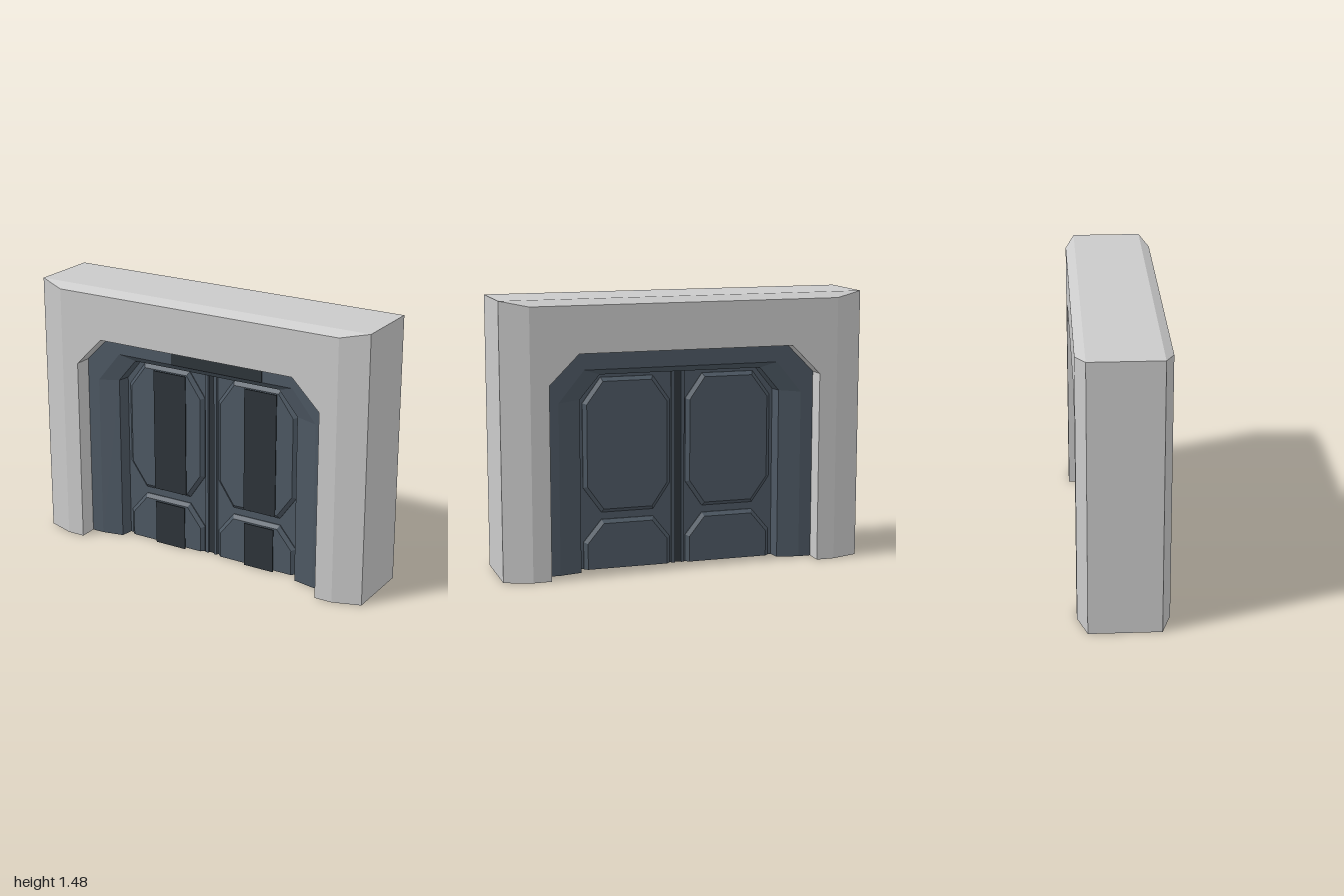
import * as THREE from 'three';

const stone = new THREE.MeshStandardMaterial({ color: 0xcacaca });
stone.name = 'pale stone';
const steel = new THREE.MeshStandardMaterial({ color: 0x4d5863 });
steel.name = 'blue grey steel';
const dark = new THREE.MeshStandardMaterial({ color: 0x2d343a });
dark.name = 'dark steel';

// Arch outline with cut corners, from the foot at -x over the top to the foot at +x
function arch(halfWidth, shoulder, cut, top, z) {
  return [[-halfWidth, 0], [-halfWidth, shoulder], [-cut, top], [cut, top], [halfWidth, shoulder], [halfWidth, 0]]
    .map(([x, y]) => [x, y, z]);
}

// Flat-faced surface through successive arch outlines, outer to inner
function loft(loops) {
  const p = [];
  for (let k = 0; k < loops.length - 1; k++) {
    const a = loops[k], b = loops[k + 1];
    for (let i = 0; i < a.length - 1; i++) {
      p.push(...a[i], ...b[i], ...b[i + 1], ...a[i], ...b[i + 1], ...a[i + 1]);
    }
  }
  const g = new THREE.BufferGeometry();
  g.setAttribute('position', new THREE.Float32BufferAttribute(p, 3));
  g.computeVertexNormals();
  return g;
}

function add(parent, name, geometry, material) {
  const m = new THREE.Mesh(geometry, material);
  m.name = name;
  parent.add(m);
  return m;
}

function polygon(points) {
  return new THREE.Shape(points.map(([x, y]) => new THREE.Vector2(x, y)));
}

// Underside of one jamb; section holds [x, z] points of the front half
function foot(section) {
  const back = section.map(([x, z]) => [x, -z]).reverse();
  return new THREE.ShapeGeometry(polygon([...section, ...back])).rotateX(Math.PI / 2);
}

// Raised panel with bevelled rim
function panelGeometry(points) {
  const g = new THREE.ExtrudeGeometry(polygon(points), {
    depth: 0.005, bevelEnabled: true, bevelSegments: 1,
    bevelThickness: 0.018, bevelSize: 0.02, bevelOffset: -0.02,
  });
  const pos = g.attributes.position;
  for (let i = 0; i < pos.count; i++) pos.setY(i, Math.max(0, pos.getY(i)));
  g.translate(0, 0, 0.045);
  g.computeVertexNormals();
  return g;
}

function box(x0, x1, y0, y1, z0, z1) {
  return new THREE.BoxGeometry(x1 - x0, y1 - y0, z1 - z0)
    .translate((x0 + x1) / 2, (y0 + y1) / 2, (z0 + z1) / 2);
}

// One face of the doorway; the other is the same turned around
function makeFace() {
  const face = new THREE.Group();
  add(face, 'wall', loft([
    arch(1, 1.48, 1, 1.48, 0),
    arch(1, 1.48, 1, 1.48, 0.19),
    arch(0.85, 1.45, 0.85, 1.45, 0.24),
    arch(0.75, 1.04, 0.59, 1.2, 0.24),
    arch(0.75, 1.04, 0.59, 1.2, 0.14),
  ]), stone);
  add(face, 'doorFrame', loft([
    arch(0.75, 1.04, 0.59, 1.2, 0.14),
    arch(0.68, 0.93, 0.54, 1.1, 0.14),
    arch(0.56, 0.94, 0.45, 1.07, 0.115),
    arch(0.545, 0.94, 0.44, 1.07, 0.02),
  ]), steel);
  add(face, 'wallFoot', foot([[0.75, 0.24], [0.85, 0.24], [1, 0.19]]), stone);
  add(face, 'frameFoot', foot([[0.545, 0.03], [0.56, 0.115], [0.68, 0.14], [0.75, 0.14]]), steel);

  for (const s of [-1, 1]) {
    // Upper octagonal panel and lower panel with cut top corners
    const upper = [[0.045, 0.45], [0.14, 0.31], [0.43, 0.31], [0.53, 0.45],
      [0.53, 0.91], [0.43, 1.045], [0.14, 1.045], [0.045, 0.91]];
    const lower = [[0.045, -0.02], [0.53, -0.02], [0.53, 0.15], [0.43, 0.27], [0.14, 0.27], [0.045, 0.15]];
    const side = (pts) => pts.map(([x, y]) => [s * x, y]);
    add(face, 'upperPanel', panelGeometry(side(upper)), steel);
    add(face, 'lowerPanel', panelGeometry(side(lower)), steel);
    // Meeting stile beside the centre groove
    const a = s * 0.018, b = s * 0.036;
    add(face, 'meetingStile', box(Math.min(a, b), Math.max(a, b), 0, 1.07, 0.03, 0.06), steel);
  }
  add(face, 'centreGroove', box(-0.018, 0.018, 0, 1.07, 0.04, 0.047), dark);
  return face;
}

export function createModel() {
  const model = new THREE.Group();
  model.name = 'doorway';

  const front = makeFace();
  front.name = 'frontFace';
  const back = makeFace();
  back.name = 'backFace';
  back.rotation.y = Math.PI;
  model.add(front, back);

  add(model, 'doorLeaves', box(-0.56, 0.56, 0, 1.09, -0.045, 0.045), steel);

  // Dark painted bands on the front
  for (const [x0, x1] of [[-0.35, -0.145], [0.225, 0.42]]) {
    add(model, 'upperBand', box(x0, x1, 0.33, 1.025, 0.085, 0.089), dark);
    add(model, 'lowerBand', box(x0 + 0.005, x1 - 0.01, 0, 0.25, 0.085, 0.089), dark);
  }
  add(model, 'headerBand', box(-0.2, 0.36, 1.1, 1.2, 0.139, 0.143), dark);
  return model;
}
